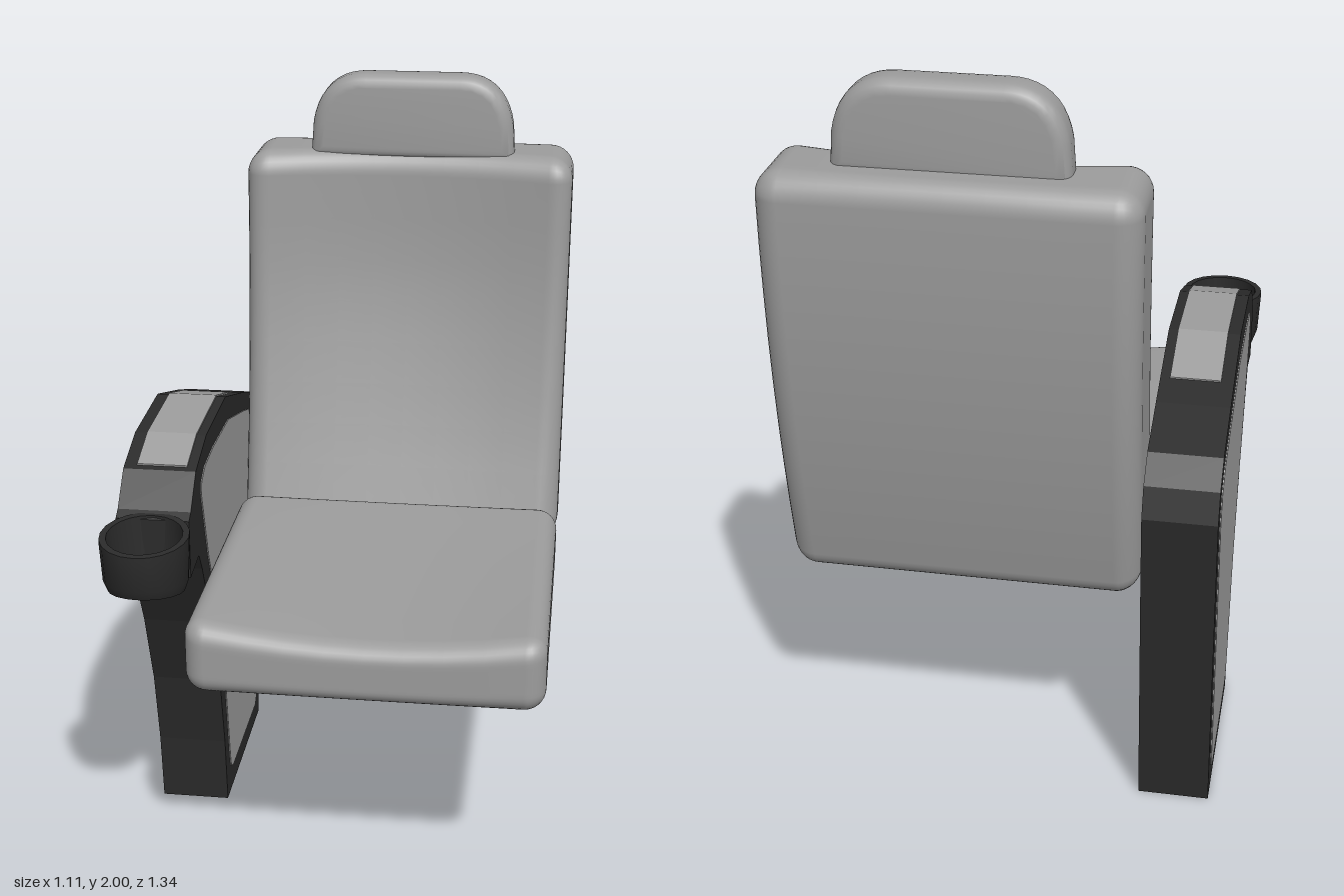
import * as THREE from 'three';
import { mergeVertices, toCreasedNormals } from 'three/addons/utils/BufferGeometryUtils.js';

const fabric = new THREE.MeshStandardMaterial({ color: 0x9c9c9c });
fabric.name = 'grey upholstery';
const panelGrey = new THREE.MeshStandardMaterial({ color: 0x9e9e9e });
panelGrey.name = 'grey inlay';
const frameDark = new THREE.MeshStandardMaterial({ color: 0x2b2b2b });
frameDark.name = 'dark frame';

const V2 = (points) => points.map(([a, b]) => new THREE.Vector2(a, b));

// Soft cushion: subdivided box with rounded edges, then bent by a rule
function cushion(size, radius, bend) {
  const round = 4, flat = 8, n = 2 * round + flat;
  let geo = new THREE.BoxGeometry(2, 2, 2, n, n, n);
  geo.deleteAttribute('normal');
  geo.deleteAttribute('uv');
  geo = mergeVertices(geo);
  const pos = geo.attributes.position;
  for (let i = 0; i < pos.count; i++) {
    const core = [], off = [];
    for (let a = 0; a < 3; a++) {
      const k = Math.round((pos.getComponent(i, a) + 1) / 2 * n) - n / 2;
      const inner = size[a] / 2 - radius;
      const over = Math.max(0, Math.abs(k) - flat / 2) / round;
      core.push(inner * THREE.MathUtils.clamp(k / (flat / 2), -1, 1));
      off.push(Math.sign(k) * Math.tan(over * Math.PI / 4));
    }
    const len = Math.hypot(...off);
    const p = new THREE.Vector3(...core.map((c, a) => c + off[a] / len * radius));
    bend(p);
    pos.setXYZ(i, p.x, p.y, p.z);
  }
  geo.computeVertexNormals();
  return geo;
}

// Extrude a side outline given as [z, y] between two x positions
function sideSlab(points, xMin, xMax) {
  const geo = new THREE.ExtrudeGeometry(new THREE.Shape(V2(points)), { depth: xMax - xMin, bevelEnabled: false });
  geo.rotateY(-Math.PI / 2);
  geo.translate(xMax, 0, 0);
  return geo;
}

export function createModel() {
  const model = new THREE.Group();
  model.name = 'armchair';
  const add = (name, geo, mat) => {
    const mesh = new THREE.Mesh(geo, mat);
    mesh.name = name;
    model.add(mesh);
    return mesh;
  };
  const cx = 0.1025;

  // Seat cushion, its front edge sagging in the middle
  const seat = cushion([0.905, 0.205, 0.865], 0.055, (p) => {
    const front = THREE.MathUtils.clamp((p.z + 0.43) / 0.86, 0, 1);
    const up = THREE.MathUtils.clamp((p.y + 0.1) / 0.2, 0, 1);
    p.y -= 0.045 * Math.max(0, 1 - (p.x / 0.45) ** 2) * front * up;
  });
  add('seatCushion', seat, fabric).position.set(cx, 0.7425, 0.185);

  // Backrest: leaning curve, tilted underside, hollow front
  const back = cushion([0.905, 1.1, 0.275], 0.065, (p) => {
    const y = p.y + 1.24, z = p.z;
    const low = (1.79 - y) / 1.1;
    const hollow = 0.065 * Math.max(0, 1 - (p.x / 0.45) ** 2) * Math.min(1, 1.5 * (1 - low));
    p.y = y + 0.38 * z * low * low;
    p.z = z - 0.53 + 0.13 * (1.75 - y) ** 2 - hollow * (z + 0.1375) / 0.275;
  });
  add('backrest', back, fabric).position.x = cx;

  // Headrest
  const b = 0.035;
  const head = new THREE.Shape();
  head.moveTo(-0.283 + b, 0);
  head.lineTo(0.283 - b, 0);
  head.lineTo(0.278 - b, 0.06);
  head.bezierCurveTo(0.265 - b, 0.135, 0.225 - b, 0.165, 0.165 - b, 0.165);
  head.lineTo(-0.165 + b, 0.165);
  head.bezierCurveTo(-0.225 + b, 0.165, -0.265 + b, 0.135, -0.278 + b, 0.06);
  const headGeo = new THREE.ExtrudeGeometry(head, {
    depth: 0.04, bevelSize: b, bevelThickness: b, bevelSegments: 5, curveSegments: 10,
  });
  add('headrest', toCreasedNormals(headGeo, 0.9), fabric).position.set(cx + 0.005, 1.8, -0.54);

  // Side support with armrest and neck for the cup holder
  const xIn = -0.355, xOut = -0.543;
  add('sideSupport', sideSlab([
    [-0.46, 0], [0.06, 0], [0.08, 0.2], [0.125, 0.42], [0.205, 0.64], [0.31, 0.85], [0.345, 0.905], [0.45, 0.89],
    [0.45, 1.045], [0.425, 1.06], [0.35, 1.14], [0.21, 1.185], [-0.06, 1.195], [-0.32, 1.115],
    [-0.48, 1.06], [-0.545, 1.0], [-0.57, 0.92], [-0.55, 0.72],
  ], xOut, xIn), frameDark);

  // Inlay panels on both faces of the support
  const inlay = [
    [-0.39, 0.06], [-0.02, 0.065], [0.01, 0.08], [0.02, 0.12], [0.07, 0.44], [0.135, 0.64], [0.235, 0.85],
    [0.305, 1.06], [0.295, 1.09], [0.25, 1.115], [0.14, 1.125], [-0.08, 1.122], [-0.32, 1.06],
    [-0.45, 1.02], [-0.505, 0.97], [-0.52, 0.9], [-0.495, 0.69], [-0.425, 0.11], [-0.41, 0.075],
  ];
  add('innerPanel', sideSlab(inlay, xIn, xIn + 0.003), panelGrey);
  add('outerPanel', sideSlab(inlay, xOut - 0.003, xOut), panelGrey);

  // Armrest pad following the top of the support
  const padTop = [[0.335, 1.145], [0.21, 1.185], [-0.06, 1.195], [-0.235, 1.141]];
  const padLine = [...padTop].reverse().map(([z, y]) => [z, y - 0.003]);
  add('armrestPad', sideSlab([...padLine, ...padTop.map(([z, y]) => [z, y + 0.004])], -0.51, -0.38), panelGrey);

  // Oval cup holder: open bowl with sloping rim and base
  const cup = new THREE.LatheGeometry(V2([
    [0, 0], [0.86, 0], [0.95, 0.03], [1, 0.15], [1, 0.16], [0.85, 0.16], [0.82, 0.03], [0, 0.03],
  ]), 20);
  const pos = cup.attributes.position;
  for (let i = 0; i < pos.count; i++) {
    const h = pos.getY(i) / 0.16, z = pos.getZ(i) * 0.122;
    pos.setXYZ(i, pos.getX(i) * 0.112, 0.9 + h * 0.147 + z * (0.18 - 0.25 * h), z);
  }
  add('cupHolder', toCreasedNormals(cup, 0.5), frameDark).position.set(-0.447, 0, 0.547);

  return model;
}
